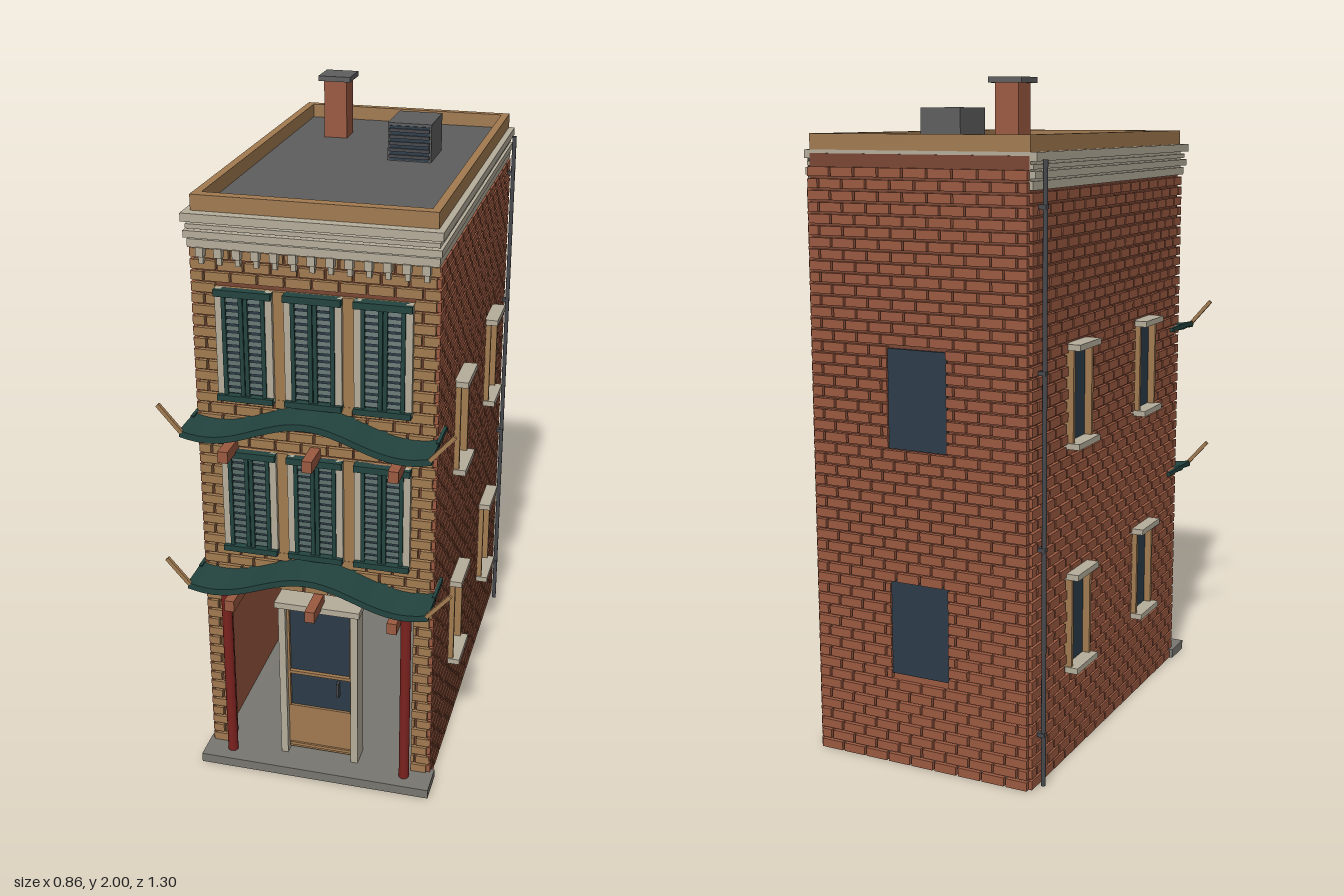
import * as THREE from 'three';
import { mergeGeometries } from 'three/addons/utils/BufferGeometryUtils.js';

const paint = (name, color) => Object.assign(new THREE.MeshStandardMaterial({ color }), { name });

export function createModel() {
  const M = {
    brick: paint('terracotta brick', 0x9a5940),
    mortar: paint('mortar', 0x7a4634),
    tan: paint('tan stone', 0xa17a50),
    trim: paint('cream trim', 0xb5ad9b),
    green: paint('dark green', 0x23443f),
    glass: paint('dark glass', 0x2c3b48),
    roof: paint('roof grey', 0x5e5e5e),
    slab: paint('concrete', 0x787670),
    red: paint('dark red', 0x7a221e),
    iron: paint('iron', 0x47484c),
  };
  const model = new THREE.Group();
  model.name = 'townhouse';

  // Box geometry given by its limits
  const span = (x0, x1, y0, y1, z0, z1) =>
    new THREE.BoxGeometry(x1 - x0, y1 - y0, z1 - z0).translate((x0 + x1) / 2, (y0 + y1) / 2, (z0 + z1) / 2);
  const add = (name, mat, ...geos) => {
    const mesh = new THREE.Mesh(geos.length > 1 ? mergeGeometries(geos) : geos[0], mat);
    mesh.name = name;
    model.add(mesh);
    return mesh;
  };
  const box = (name, mat, ...s) => add(name, mat, span(...s));

  // Running-bond bricks on the z = 0 plane; holes are [u0, u1, v0, v1]
  const bricks = (u0, u1, v0, v1, holes, depth) => {
    const out = [], len = 0.078, gap = 0.007;
    const rows = Math.round((v1 - v0) / 0.0333), pitch = (v1 - v0) / rows;
    for (let r = 0; r < rows; r++) {
      const y = v0 + r * pitch, mid = y + pitch / 2;
      let runs = [[u0, u1]];
      for (const [a, b, c, d] of holes) {
        if (mid < c || mid > d) continue;
        runs = runs.flatMap(([p, q]) => [[p, Math.min(q, a)], [Math.max(p, b), q]]).filter(([p, q]) => q - p > 0.004);
      }
      for (const [p, q] of runs) {
        for (let u = u0 - (r % 2) * len / 2; u < q; u += len) {
          const a = Math.max(u, p), b = Math.min(u + len - gap, q);
          if (b - a > 0.006) out.push(span(a, b, y, y + pitch - gap, 0, depth));
        }
      }
    }
    return mergeGeometries(out);
  };

  // Solid upper storeys over a hollow shop
  box('upperBody', M.mortar, -0.345, 0.345, 0.64, 1.79, -0.64, 0.51);
  box('floor', M.slab, -0.345, 0.345, 0, 0.03, -0.64, 0.52);
  box('frontStep', M.slab, -0.367, 0.367, 0, 0.03, 0.5, 0.605);
  box('shopBackWall', M.brick, -0.345, 0.345, 0.03, 0.64, -0.64, -0.62);
  for (const s of [-1, 1]) {
    const a = s * 0.325, b = s * 0.345;
    box('shopSideWall', M.brick, Math.min(a, b), Math.max(a, b), 0.0, 0.64, -0.64, 0.51);
    box('frontPier', M.mortar, s * 0.32 - 0.025, s * 0.32 + 0.025, 0.03, 0.64, 0.46, 0.511);
  }

  // Brick skins
  const levels = [[0.28, 0.57], [0.96, 1.25]];
  const sideZ = [0.19, -0.33];
  const sideHoles = levels.flatMap(([a, b]) => sideZ.map(z => [z - 0.072, z + 0.072, a, b]));
  for (const s of [-1, 1]) {
    const holes = sideHoles.map(([a, b, c, d]) => (s > 0 ? [-b, -a, c, d] : [a, b, c, d]));
    const g = bricks(s > 0 ? -0.52 : -0.64, s > 0 ? 0.64 : 0.52, 0, 1.7, holes, 0.012);
    add('sideBricks', M.brick, g.rotateY(s * Math.PI / 2).translate(s * 0.344, 0, 0));
  }
  const backHoles = levels.map(([a, b]) => [-0.095, 0.095, a, b]);
  add('backBricks', M.brick, bricks(-0.345, 0.345, 0, 1.76, backHoles, 0.014).rotateY(Math.PI).translate(0, 0, -0.64));
  const floors = [[0.757, 1.09], [1.25, 1.585]];
  const frontHoles = floors.map(([a, b]) => [-0.285, 0.285, a, b]);
  frontHoles.push([-0.295, 0.295, 0, 0.64]);
  add('frontBricks', M.tan, bricks(-0.352, 0.352, 0.03, 1.7, frontHoles, 0.015).translate(0, 0, 0.508));

  // Rear windows
  for (const [a, b] of levels) box('backWindow', M.glass, -0.095, 0.095, a, b, -0.647, -0.639);

  // Side windows with sills, lintels and jambs
  for (const s of [-1, 1]) for (const z of sideZ) for (const [a, b] of levels) {
    const sx = (x0, x1, ...r) => span(Math.min(s * x0, s * x1), Math.max(s * x0, s * x1), ...r);
    add('sideWindow', M.glass, sx(0.344, 0.35, a, b, z - 0.065, z + 0.065));
    add('sideJambs', M.tan, sx(0.34, 0.372, a, b, z - 0.072, z - 0.06), sx(0.34, 0.372, a, b, z + 0.06, z + 0.072));
    add('sillAndLintel', M.trim, sx(0.34, 0.394, a - 0.008, a + 0.01, z - 0.077, z + 0.077),
      sx(0.34, 0.394, b - 0.01, b + 0.008, z - 0.077, z + 0.077));
  }

  // Front windows with louvred shutters
  for (const [a, b] of floors) {
    box('windowPanel', M.tan, -0.285, 0.285, a, b, 0.5, 0.522);
    for (const x of [-0.2, 0, 0.2]) {
      box('frontWindow', M.glass, x - 0.065, x + 0.065, a, b, 0.52, 0.526);
      add('windowTrim', M.trim, span(x - 0.083, x - 0.063, a, b, 0.515, 0.535), span(x + 0.063, x + 0.083, a, b, 0.515, 0.535));
      const parts = [
        span(x - 0.083, x + 0.083, b - 0.02, b, 0.515, 0.548),
        span(x - 0.083, x + 0.083, a, a + 0.018, 0.515, 0.548),
      ];
      for (const dx of [-0.057, -0.007, 0.007, 0.057]) parts.push(span(x + dx - 0.006, x + dx + 0.006, a, b, 0.52, 0.54));
      for (let i = 0; i < 14; i++) {
        const y = a + 0.03 + i * 0.021;
        for (const dx of [-0.032, 0.032]) {
          parts.push(new THREE.BoxGeometry(0.04, 0.014, 0.004).rotateX(-0.4).translate(x + dx, y, 0.532));
        }
      }
      add('shutters', M.green, ...parts);
    }
  }

  // Wavy awnings in overlapping slats, with upturned rim tips
  const wave = x => 0.035 * Math.cos(Math.PI * x / 0.29);
  const awningSlat = (z, depth, thick) => {
    const top = [], n = 28;
    for (let i = 0; i <= n; i++) {
      const x = -0.365 + 0.73 * i / n;
      top.push(new THREE.Vector2(x, wave(x)));
    }
    const low = top.map(p => new THREE.Vector2(p.x, p.y - thick)).reverse();
    return new THREE.ExtrudeGeometry(new THREE.Shape([...top, ...low]), { depth, bevelEnabled: false }).translate(0, 0, z);
  };
  for (const y of [0.715, 1.215]) {
    const slats = [0, 1, 2, 3].map(i => awningSlat(0.515 + i * 0.031, 0.028, 0.014 + (i % 2) * 0.003));
    slats.push(awningSlat(0.515, 0.125, 0.009), awningSlat(0.637, 0.011, 0.02));
    add('awning', M.green, ...slats).position.y = y;
    for (const s of [-1, 1]) {
      const tip = new THREE.BoxGeometry(0.104, 0.012, 0.011).rotateZ(s * 0.86).translate(s * 0.393, y + 0.008, 0.643);
      add('awningTip', M.tan, tip);
      box('awningReturn', M.green, s * 0.361 - 0.005, s * 0.361 + 0.005, y - 0.036, y - 0.022, 0.437, 0.55);
    }
  }

  // Beam ends beneath the awnings
  for (const y of [0.605, 1.103]) for (const x of [-0.25, 0, 0.25]) {
    box('beamEnd', M.brick, x - 0.015, x + 0.015, y - 0.018, y + 0.018, 0.5, 0.615);
  }

  // Shop door
  add('doorFrame', M.trim, span(-0.125, -0.103, 0.03, 0.58, 0.46, 0.53), span(0.103, 0.125, 0.03, 0.58, 0.46, 0.53),
    span(-0.133, 0.133, 0.572, 0.592, 0.46, 0.54));
  add('doorLeaf', M.tan, span(-0.103, 0.103, 0.04, 0.2, 0.485, 0.508), span(-0.103, -0.096, 0.2, 0.572, 0.485, 0.512),
    span(0.096, 0.103, 0.2, 0.572, 0.485, 0.512), span(-0.1, 0.1, 0.322, 0.332, 0.485, 0.512),
    span(-0.1, 0.1, 0.05, 0.06, 0.49, 0.514));
  box('doorGlass', M.glass, -0.098, 0.098, 0.2, 0.572, 0.49, 0.5);
  box('doorHandle', M.iron, 0.054, 0.062, 0.26, 0.31, 0.5, 0.518);

  // Columns and downpipes
  for (const s of [-1, 1]) {
    add('column', M.red, new THREE.CylinderGeometry(0.016, 0.016, 0.585, 16).translate(s * 0.28, 0.3225, 0.553));
    add('downpipe', M.iron, new THREE.CylinderGeometry(0.007, 0.007, 1.78, 10).translate(s * 0.372, 0.89, -0.597));
    for (const y of [0.15, 0.7, 1.2, 1.65]) box('pipeBracket', M.iron, s * 0.366 - 0.012, s * 0.366 + 0.012, y, y + 0.012, -0.606, -0.588);
  }

  // Layered cornice with corbels
  const layers = [[1.7, 1.724, 0.354, 0.54], [1.73, 1.75, 0.361, 0.55], [1.755, 1.768, 0.355, 0.545], [1.776, 1.8, 0.365, 0.555]];
  for (const [a, b, x, z] of layers) box('cornice', M.trim, -x, x, a, b, -0.637, z);
  box('corniceCore', M.trim, -0.347, 0.347, 1.7, 1.79, -0.638, 0.53);
  for (let i = 0; i < 13; i++) {
    const x = -0.318 + i * 0.053;
    add('corbel', M.trim, span(x - 0.011, x + 0.011, 1.675, 1.702, 0.515, 0.545), span(x - 0.007, x + 0.007, 1.652, 1.676, 0.515, 0.533));
  }

  // Parapet and roof
  box('roof', M.roof, -0.325, 0.325, 1.78, 1.802, -0.615, 0.5);
  add('parapet', M.tan, span(-0.346, -0.322, 1.8, 1.845, -0.637, 0.523), span(0.322, 0.346, 1.8, 1.845, -0.637, 0.523),
    span(-0.322, 0.322, 1.8, 1.845, -0.637, -0.612), span(-0.322, 0.322, 1.8, 1.845, 0.491, 0.523));

  // Chimney
  box('chimney', M.brick, -0.21, -0.136, 1.79, 1.986, -0.427, -0.35);
  box('chimneyCap', M.roof, -0.225, -0.121, 1.984, 2, -0.44, -0.336);

  // Rooftop vent unit
  box('ventUnit', M.roof, 0.055, 0.19, 1.79, 1.918, -0.277, -0.116);
  box('ventGrille', M.glass, 0.061, 0.184, 1.805, 1.91, -0.118, -0.113);
  for (let i = 0; i < 5; i++) box('ventSlat', M.iron, 0.06, 0.185, 1.812 + i * 0.02, 1.822 + i * 0.02, -0.116, -0.108);

  return model;
}
